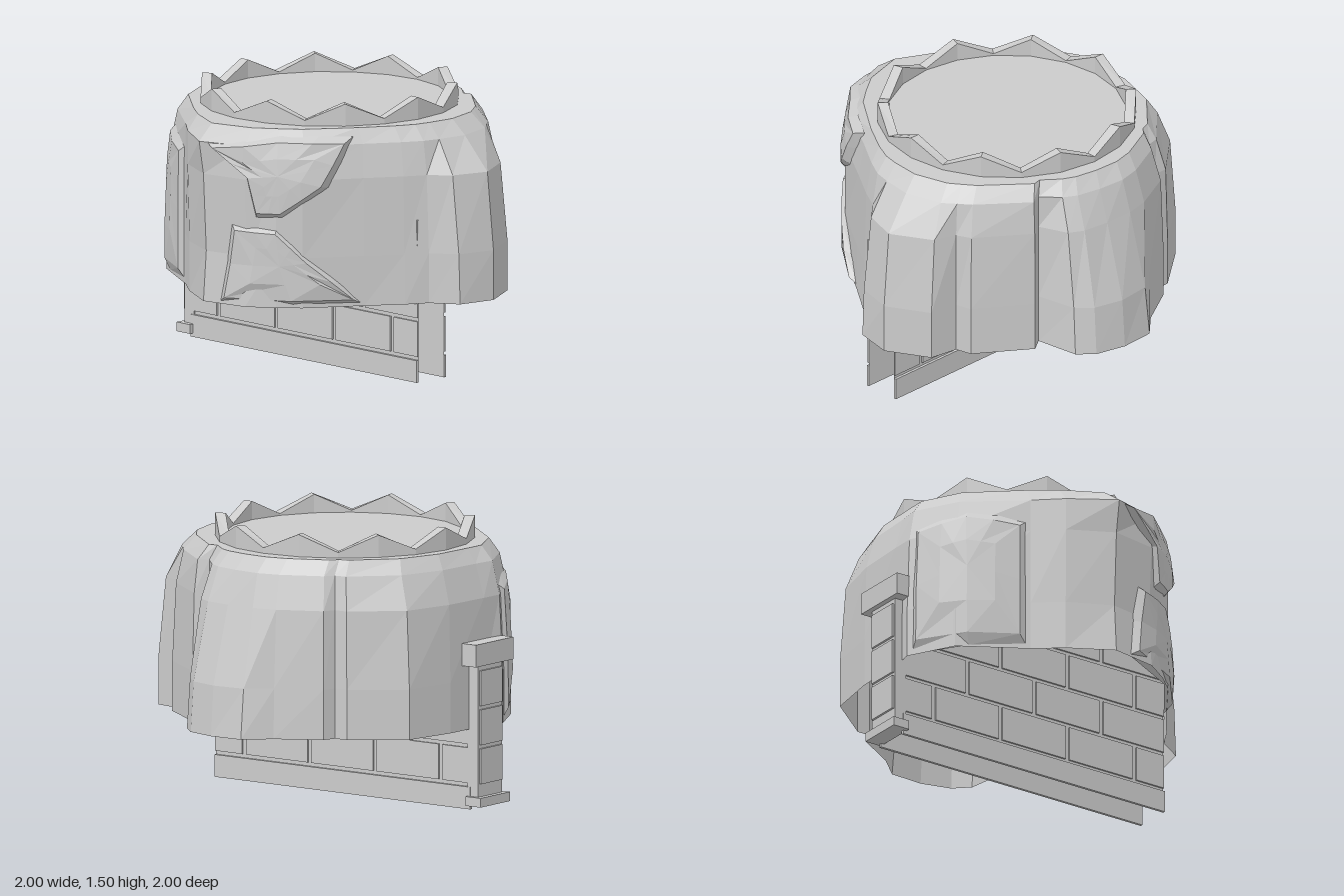
import * as THREE from 'three';

const mat = new THREE.MeshStandardMaterial({ color: 0xcccccc, flatShading: true, side: THREE.DoubleSide });
const lerp = THREE.MathUtils.lerp;

// Rock columns: angle from +z towards +x, then the radius at each level
const LEVELS = [0.43, 0.7, 1.12, 1.3];
const COLUMNS = [
  [-4, .97, .95, .97, 1.0], [12, .94, .92, .94, .93], [22, .89, .89, .89, .86], [31, .85, .85, .85, .82],
  [54, .77, .77, .76, .73], [70, .80, .79, .78, .75], [79, .83, .83, .81, .78], [86, .96, .95, .90, .79],
  [98, 1.01, 1.01, .97, .82], [113, .95, .95, .91, .82], [119, .82, .82, .82, .80], [125, .85, .85, .83, .79],
  [149, .80, .80, .79, .77], [152, .72, .72, .72, .72], [161, .93, .91, .84, .77], [167, .98, .96, .86, .79],
  [177, 1.0, .98, .86, .80], [188, 1.0, .97, .87, .82], [197, .91, .90, .87, .82], [214, .885, .885, .87, .82],
  [218, .84, .84, .83, .80], [222, .89, .89, .88, .83],
  [242, .97, .97, .94, .87], [260, .92, .92, .91, .86], [278, .92, .92, .92, .87], [286, .97, .97, .95, .91],
  [303, .95, .95, .93, .89], [328, .85, .85, .85, .85], [340, .89, .89, .90, .90],
];
const CROWN = { x: -0.07, z: 0.02, r: 0.69 };
const SHOULDER = 0.35, TOP = 1.38;

const polar = (deg, r, y) => {
  const a = THREE.MathUtils.degToRad(deg);
  return [r * Math.sin(a), y, r * Math.cos(a)];
};

// Rock surface radius at any angle and height, sloping in above the top level
function rockRadius(deg, y) {
  const n = COLUMNS.length;
  let i = n - 1;
  while (i > 0 && COLUMNS[i][0] > deg) i--;
  const a = COLUMNS[i], b = COLUMNS[(i + 1) % n];
  const t = (deg - a[0]) / ((b[0] - a[0] + 360) % 360);
  let j = 0;
  while (j < 2 && LEVELS[j + 1] < y) j++;
  const s = THREE.MathUtils.clamp((y - LEVELS[j]) / (LEVELS[j + 1] - LEVELS[j]), 0, 1);
  const r = lerp(lerp(a[j + 1], b[j + 1], t), lerp(a[j + 2], b[j + 2], t), s);
  const slope = Math.max(0, (y - LEVELS[3]) / (TOP - LEVELS[3]));
  return lerp(r, CROWN.r, slope * SHOULDER);
}

// Joins equal-length closed rings of points into a faceted skin
function loft(name, rings) {
  const n = rings[0].length, index = [];
  for (let j = 0; j < rings.length - 1; j++)
    for (let i = 0; i < n; i++) {
      const k = (i + 1) % n, a = j * n + i, b = j * n + k;
      index.push(a, b, b + n, a, b + n, a + n);
    }
  const g = new THREE.BufferGeometry();
  g.setAttribute('position', new THREE.Float32BufferAttribute(rings.flat(2), 3));
  g.setIndex(index);
  const flat = g.toNonIndexed();
  flat.computeVertexNormals();
  const mesh = new THREE.Mesh(flat, mat);
  mesh.name = name;
  return mesh;
}

function rockShell() {
  const rings = LEVELS.map((y, j) => COLUMNS.map(c => polar(c[0], c[j + 1], y)));
  const inner = COLUMNS.map(c => {
    const p = polar(c[0], CROWN.r - 0.03, TOP);
    return [p[0] + CROWN.x, p[1], p[2] + CROWN.z];
  });
  const shoulder = rings[3].map((p, i) => [lerp(p[0], inner[i][0], SHOULDER), TOP, lerp(p[2], inner[i][2], SHOULDER)]);
  return loft('rockShell', [...rings, shoulder, inner]);
}

// Raised slab with bevelled edges following the rock, from an outline of [angle, height]
function rockPlate(name, outline, thick) {
  const pts = outline.flatMap((p, i) => {
    const q = outline[(i + 1) % outline.length];
    return [p, [lerp(p[0], q[0], 0.5), lerp(p[1], q[1], 0.5)]];
  });
  const mid = [0, 1].map(k => pts.reduce((s, p) => s + p[k], 0) / pts.length);
  const ring = (scale, lift) => pts.map(p => {
    const d = lerp(mid[0], p[0], scale), y = lerp(mid[1], p[1], scale);
    return polar(d, rockRadius(d, y) + lift, y);
  });
  return loft(name, [ring(1, -0.015), ring(0.86, thick), ring(0.45, thick), ring(0, thick)]);
}

// Zigzag crown with ten points
function crown() {
  const ring = (r, y) => Array.from({ length: 20 }, (_, i) => {
    const p = polar(16 + i * 18, r, y ?? (i % 2 ? 1.41 : 1.5));
    return [p[0] + CROWN.x, p[1], p[2] + CROWN.z];
  });
  return loft('crown', [ring(CROWN.r, 1.36), ring(CROWN.r), ring(0.635), ring(0.635, 1.36)]);
}

function box(name, x0, x1, y0, y1, z0, z1) {
  const mesh = new THREE.Mesh(new THREE.BoxGeometry(x1 - x0, y1 - y0, z1 - z0), mat);
  mesh.position.set((x0 + x1) / 2, (y0 + y1) / 2, (z0 + z1) / 2);
  mesh.name = name;
  return mesh;
}

// Two brick faces with an open end, closed by a post at -x
function brickWall() {
  const wall = new THREE.Group();
  wall.name = 'brickWall';
  const left = -0.9, right = 0.78, top = 0.88;
  for (const [z, out] of [[0.2, 1], [0.01, -1]]) {
    const face = new THREE.Mesh(new THREE.PlaneGeometry(right + 0.92, top), mat);
    face.position.set((right - 0.92) / 2, top / 2, z);
    if (out < 0) face.rotation.y = Math.PI;
    face.name = 'wallFace';
    wall.add(face);
    const slab = (name, x0, x1, y0, y1, d) =>
      wall.add(box(name, x0, x1, y0, y1, Math.min(z, z + out * d), Math.max(z, z + out * d)));
    slab('plinth', -0.92, right, 0, 0.12, 0.015);
    for (let row = 0; row < 4; row++) {
      const y = 0.14 + row * 0.21;
      for (let k = 0; k < 5; k++) {
        const x = (row % 2 ? -0.92 : -1.14) + k * 0.435;
        const x0 = Math.max(x, left), x1 = Math.min(x + 0.41, right);
        if (x1 - x0 > 0.05) slab('brick', x0, x1, y, Math.min(y + 0.19, top), 0.01);
      }
    }
  }
  wall.add(box('endPost', -0.97, -0.9, 0.07, 0.78, 0, 0.21));
  wall.add(box('postBase', -1, -0.9, 0.02, 0.07, -0.02, 0.24));
  wall.add(box('postCap', -1, -0.9, 0.78, 0.9, -0.06, 0.27));
  for (let i = 0; i < 3; i++)
    wall.add(box('postBrick', -0.982, -0.9, 0.14 + i * 0.21, 0.33 + i * 0.21, 0.01, 0.2));
  return wall;
}

export function createModel() {
  const model = new THREE.Group();
  model.name = 'rockOnWall';
  model.add(rockShell(), crown(), brickWall());
  model.add(
    rockPlate('upperFrontPlate', [[-2, 1.3], [12, 1.13], [15, .91], [24, .91], [40, 1.08], [50, 1.34], [22, 1.35]], 0.025),
    rockPlate('lowerFrontPlate', [[2, .44], [54, .44], [34, .68], [22, .86], [6, .87]], 0.02),
    rockPlate('sidePlate', [[287, .44], [327, .44], [327, 1.18], [306, 1.24], [287, 1.18]], 0.015),
  );
  // Flat top inside the crown
  const disk = new THREE.Mesh(new THREE.CircleGeometry(0.64, 20), mat);
  disk.rotation.x = -Math.PI / 2;
  disk.position.set(CROWN.x, 1.4, CROWN.z);
  disk.name = 'topDisk';
  model.add(disk);
  return model;
}
